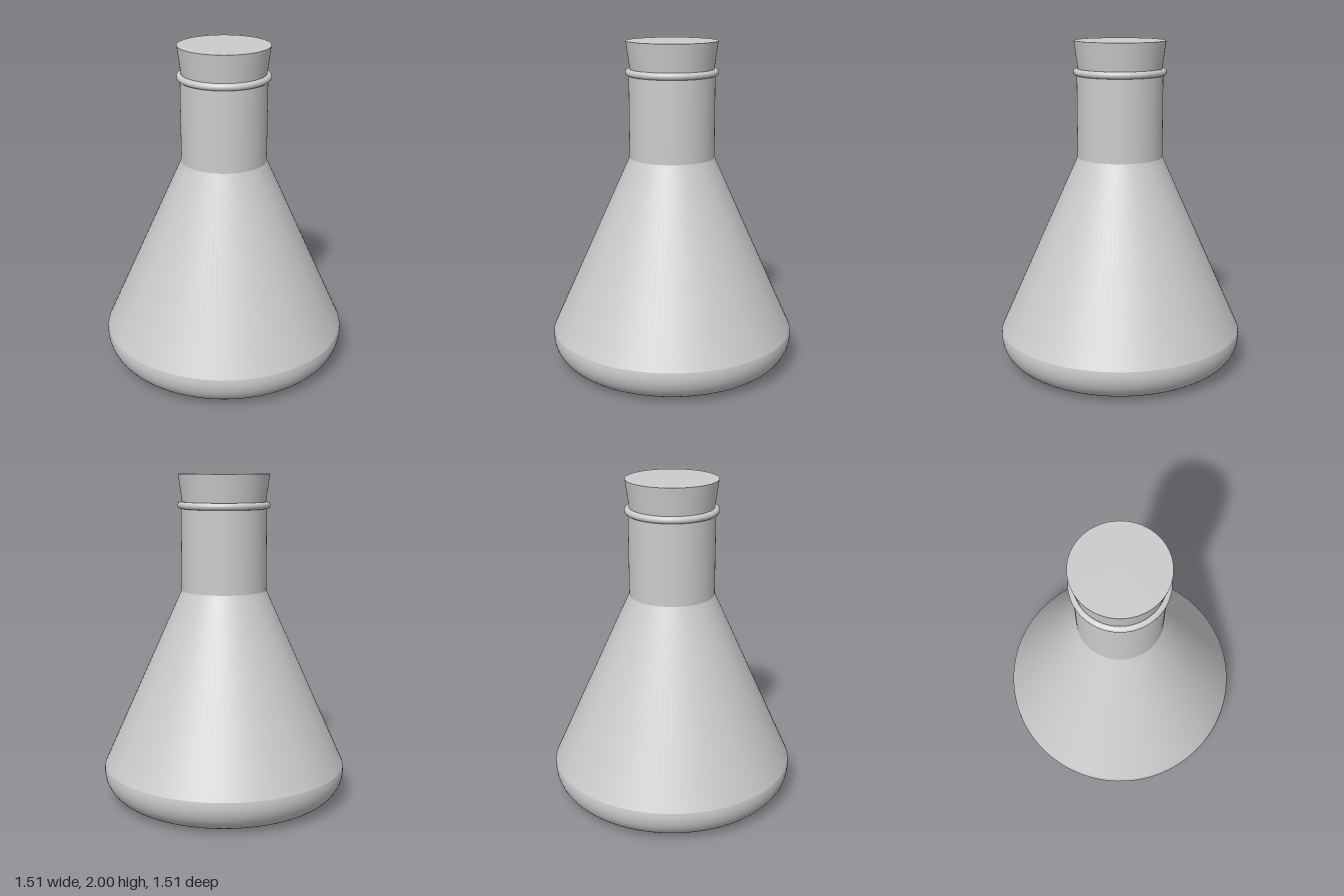
import * as THREE from 'three';

const SEGMENTS = 96;

export function createModel() {
  const group = new THREE.Group();
  const material = new THREE.MeshStandardMaterial({ color: 0xcccccc, side: THREE.DoubleSide });

  const add = (name, geometry, y = 0) => {
    const mesh = new THREE.Mesh(geometry, material);
    mesh.name = name;
    mesh.position.y = y;
    group.add(mesh);
    return mesh;
  };
  const lathe = (points) =>
    new THREE.LatheGeometry(points.map(([r, y]) => new THREE.Vector2(r, y)), SEGMENTS);

  // Rounded lower edge: an arc from the floor up to the start of the cone
  const corner = [];
  for (let i = 0; i <= 16; i++) {
    const a = THREE.MathUtils.degToRad(-90 + (101 * i) / 16);
    corner.push([0.575 + 0.178 * Math.cos(a), 0.178 + 0.178 * Math.sin(a)]);
  }
  const shoulder = corner[corner.length - 1];

  // Flask, in separate sections so the seams between them stay crisp
  add('flaskBottom', lathe([[0, 0], corner[0]]));
  add('flaskRoundedBase', lathe(corner));
  add('flaskCone', lathe([shoulder, [0.26, 1.3]]));
  add('flaskNeck', lathe([[0.26, 1.3], [0.26, 1.815]]));

  // Rolled lip around the mouth
  add('lipRing', new THREE.TorusGeometry(0.26, 0.021, 16, SEGMENTS), 1.815).rotation.x = Math.PI / 2;

  // Tapered stopper, seated partly inside the neck
  add('stopper', new THREE.CylinderGeometry(0.276, 0.235, 0.3, SEGMENTS), 1.85);

  return group;
}
